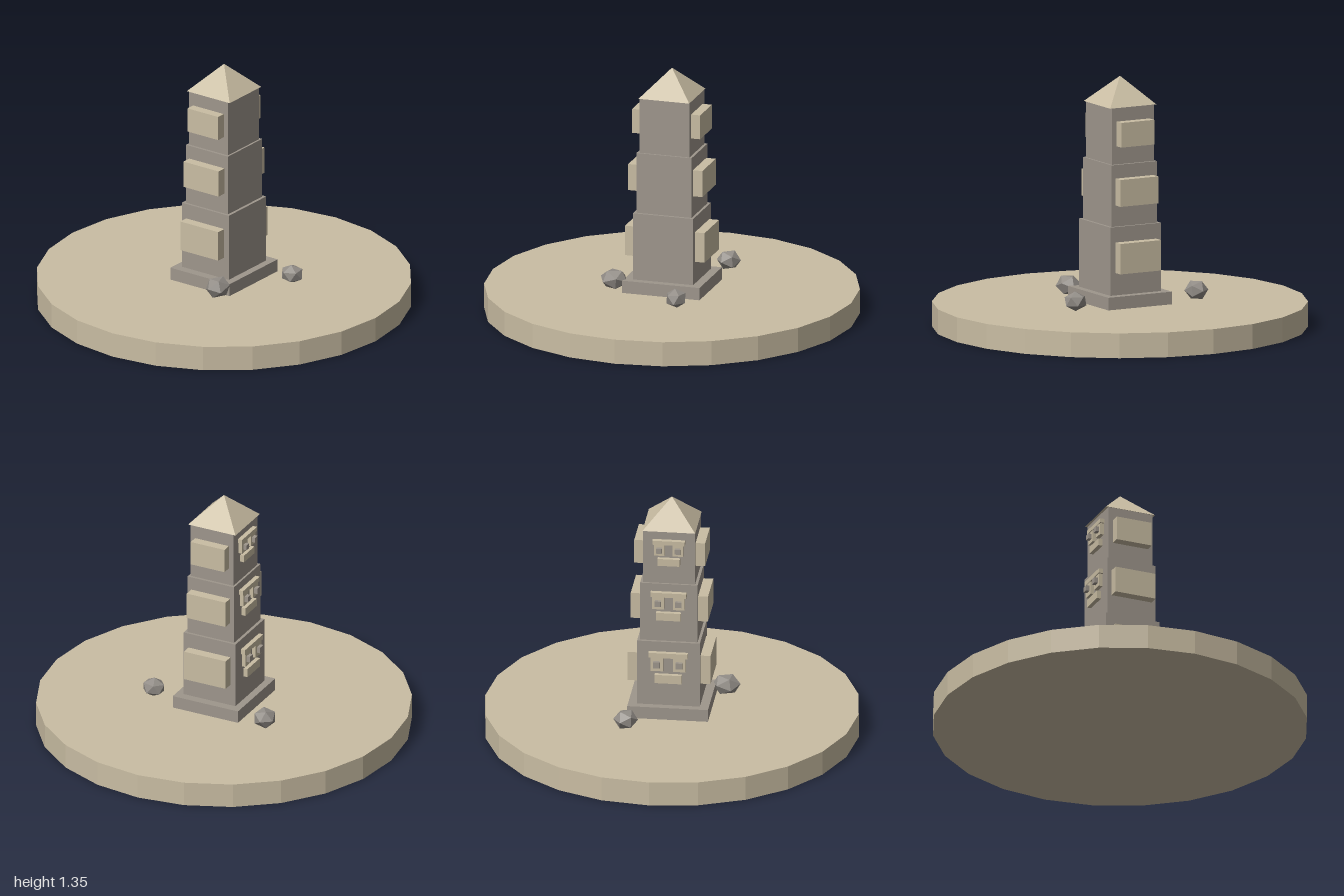
import * as THREE from 'three';

const mat = (name, color) => {
  const m = new THREE.MeshStandardMaterial({ color, flatShading: true });
  m.name = name;
  return m;
};

export function createModel() {
  const sand = mat('sand', 0xc9bda3);
  const stone = mat('stone', 0x9e968c);
  const rockGrey = mat('rock grey', 0x928d87);
  const model = new THREE.Group();
  model.name = 'totemTower';

  const add = (parent, name, geometry, material, x, y, z) => {
    const mesh = new THREE.Mesh(geometry, material);
    mesh.name = name;
    mesh.position.set(x, y, z);
    parent.add(mesh);
    return mesh;
  };
  // Box given by its bottom and top heights
  const box = (parent, name, material, w, y0, y1, d, x = 0, z = 0) =>
    add(parent, name, new THREE.BoxGeometry(w, y1 - y0, d), material, x, (y0 + y1) / 2, z);

  // Round ground slab and plinth
  add(model, 'groundSlab', new THREE.CylinderGeometry(1, 1, 0.134, 24), sand, 0, 0.067, 0);
  box(model, 'plinth', stone, 0.432, 0.134, 0.202, 0.39);

  // Three stacked blocks, each with side panels and a face on the back
  const tiers = [
    { w: 0.336, d: 0.31, y0: 0.202, y1: 0.57, side: 0.222, p0: 0.323, p1: 0.487, pd: 0.25 },
    { w: 0.308, d: 0.278, y0: 0.57, y1: 0.902, side: 0.207, p0: 0.684, p1: 0.829, pd: 0.232 },
    { w: 0.278, d: 0.256, y0: 0.902, y1: 1.206, side: 0.19, p0: 1.0, p1: 1.133, pd: 0.202 },
  ];
  tiers.forEach((t, i) => {
    const tier = new THREE.Group();
    tier.name = `tier${i + 1}`;
    model.add(tier);
    box(tier, 'block', stone, t.w, t.y0, t.y1, t.d);

    const s = t.w / 0.336;
    const back = -t.d / 2;
    const base = t.p0; // face heights are measured from the panel bottom
    const inner = t.w / 2 - 0.01;
    for (const side of [-1, 1]) {
      box(tier, 'sidePanel', sand, t.side - inner, t.p0, t.p1, t.pd, side * (t.side + inner) / 2);
      box(tier, 'eye', sand, 0.068 * s, base + 0.084 * s, base + 0.164 * s, 0.022, side * 0.06 * s, back - 0.01);
      box(tier, 'pupil', stone, 0.036 * s, base + 0.108 * s, base + 0.142 * s, 0.02, side * 0.06 * s, back - 0.03);
    }
    box(tier, 'brow', sand, 0.21 * s, base + 0.162 * s, base + 0.19 * s, 0.026, 0, back - 0.012);
    box(tier, 'mouth', sand, 0.145 * s, base + 0.014 * s, base + 0.062 * s, 0.024, 0, back - 0.011);
  });

  // Pyramid cap
  add(model, 'roof', new THREE.ConeGeometry(0.2, 0.145, 4, 1, false, Math.PI / 4), sand, 0, 1.2785, 0);

  // Loose rocks: x, y, z, half sizes, turn
  const rocks = [
    [-0.272, 0.197, 0.16, 0.078, 0.058, 0.065, 0.4],
    [0.135, 0.185, 0.35, 0.06, 0.052, 0.066, 1.3],
    [0.205, 0.197, -0.35, 0.066, 0.056, 0.064, 2.2],
  ];
  for (const [x, y, z, rx, ry, rz, turn] of rocks) {
    const g = new THREE.IcosahedronGeometry(1, 0);
    g.rotateX(turn * 0.7).rotateY(turn).scale(rx, ry, rz);
    add(model, 'rock', g, rockGrey, x, y, z);
  }
  return model;
}
